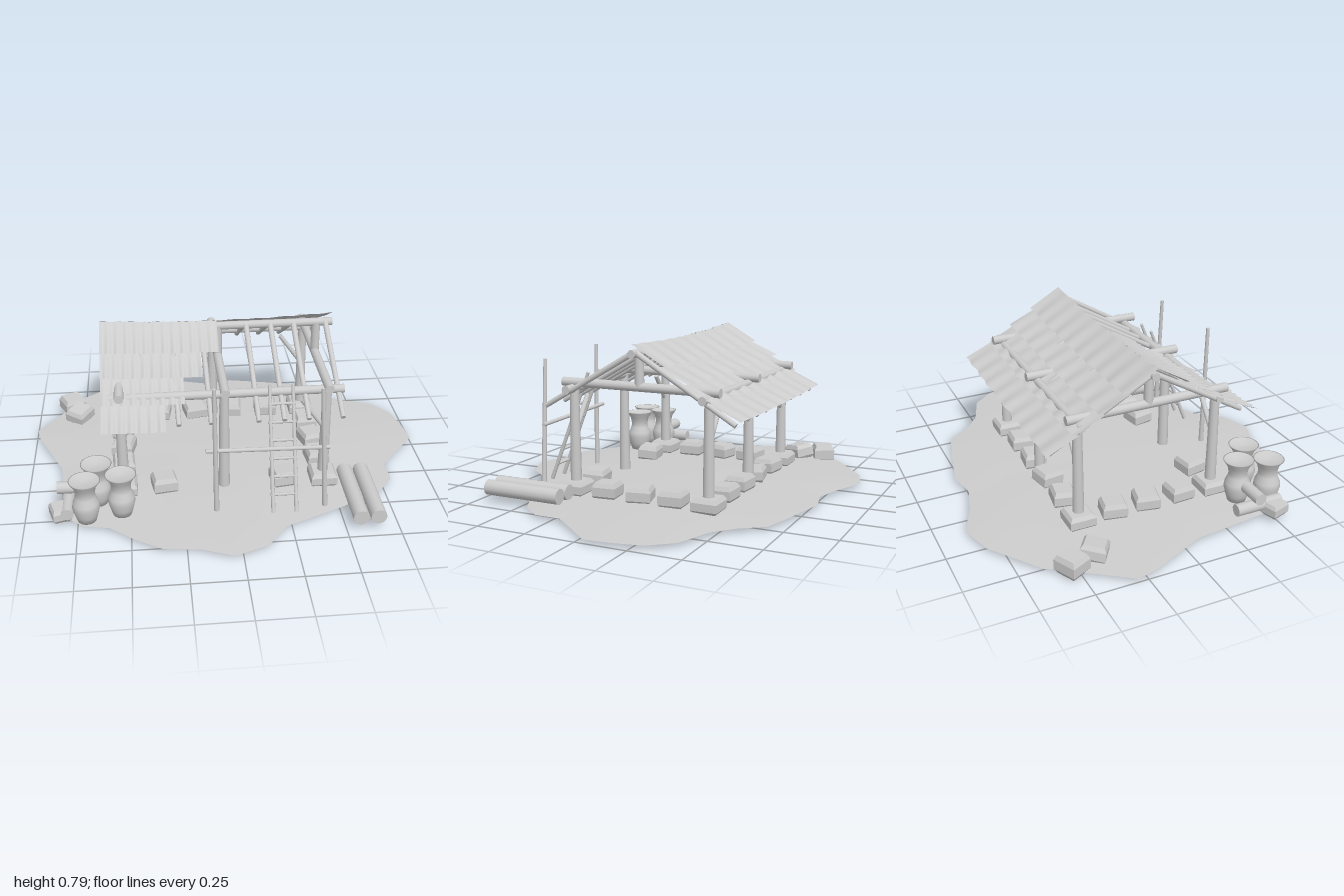
import * as THREE from 'three';

const stone = new THREE.MeshStandardMaterial({ color: 0xcccccc });
stone.name = 'pale grey';
const sheet = stone.clone();
sheet.name = 'pale grey sheet';
sheet.side = THREE.DoubleSide;
const faceted = stone.clone();
faceted.name = 'pale grey faceted';
faceted.flatShading = true;

const RIDGE_Z = -0.025, SLOPE = 0.59, RIDGE_Y = 0.785;
const V = (x, y, z) => new THREE.Vector3(x, y, z);

export function createModel() {
  const model = new THREE.Group();
  model.name = 'openShelter';

  function add(name, geometry, material = stone, parent = model) {
    const mesh = new THREE.Mesh(geometry, material);
    mesh.name = name;
    parent.add(mesh);
    return mesh;
  }

  // Round timber between two points
  function pole(name, a, b, r0, r1 = r0) {
    const dir = b.clone().sub(a);
    const mesh = add(name, new THREE.CylinderGeometry(r1, r0, dir.length(), 12));
    mesh.position.copy(a).add(b).multiplyScalar(0.5);
    mesh.quaternion.setFromUnitVectors(V(0, 1, 0), dir.normalize());
    return mesh;
  }

  // Slightly domed ground with an irregular rim
  const rim = [
    [-1, -0.3], [-0.81, -0.57], [-0.77, -0.64], [-0.52, -0.82], [-0.36, -0.865], [-0.19, -0.795],
    [-0.04, -0.75], [0.1, -0.78], [0.37, -0.72], [0.51, -0.68], [0.59, -0.57], [0.69, -0.485],
    [0.87, -0.42], [0.96, -0.31], [0.99, -0.16], [1, -0.04], [0.91, 0.065], [0.8, 0.2],
    [0.8, 0.33], [0.72, 0.43], [0.53, 0.53], [0.43, 0.575], [0.22, 0.665], [0.12, 0.795],
    [-0.04, 0.855], [-0.19, 0.795], [-0.36, 0.775], [-0.48, 0.7], [-0.6, 0.6], [-0.72, 0.575],
    [-0.8, 0.51], [-0.82, 0.35], [-0.85, 0.08], [-0.9, -0.03], [-0.98, -0.21],
  ];
  const n = rim.length, pos = [0, 0.042, 0], index = [];
  const rings = [[0.35, 0.041], [0.7, 0.035], [1, 0.018]];
  for (const [s, y] of rings) for (const [x, z] of rim) pos.push(x * s, y, z * s);
  for (let i = 0; i < n; i++) {
    const j = (i + 1) % n;
    index.push(0, 1 + j, 1 + i);
    for (let k = 0; k < 2; k++) {
      const a = 1 + k * n + i, b = 1 + k * n + j;
      index.push(a, b, a + n, b, b + n, a + n);
    }
  }
  const groundGeo = new THREE.BufferGeometry();
  groundGeo.setAttribute('position', new THREE.Float32BufferAttribute(pos, 3));
  groundGeo.setIndex(index);
  groundGeo.computeVertexNormals();
  add('ground', groundGeo, sheet);

  // Chamfered block, one unit in each direction, standing on its base
  const blockGeo = new THREE.LatheGeometry(
    [[0, 0], [0.52, 0], [0.7, 0.25], [0.7, 0.75], [0.56, 1], [0, 1]].map(p => new THREE.Vector2(...p)), 4);
  blockGeo.rotateY(Math.PI / 4);
  function block(name, x, y, z, w, h, d, turn = 0, tilt = 0) {
    const mesh = add(name, blockGeo, faceted);
    mesh.position.set(x, y, z);
    mesh.scale.set(w, h, d);
    mesh.rotation.set(tilt, turn, 0);
  }

  // Footings under the corner posts and stones around the floor
  const postX = [-0.53, -0.04, 0.45], postZ = [0.325, -0.375];
  for (const x of [postX[0], postX[2]]) {
    for (const z of postZ) block('postFooting', x, 0.025, z, 0.13, 0.075, 0.13);
    for (let i = 1; i < 4; i++)
      block('floorStone', x, 0.025, 0.325 - i * 0.175, 0.11, 0.085, 0.12, 0.25 * Math.sin(i * 5 + x * 9), 0.06 * Math.sin(i * 3));
  }
  for (let i = 1; i < 5; i++) {
    const x = -0.53 + i * 0.196;
    block('floorStone', x, 0.025, -0.375, 0.12, 0.085, 0.11, 0.2 * Math.sin(i * 4), 0.05);
    if (i === 1 || i === 4) block('floorStone', x, 0.025, 0.325, 0.12, 0.085, 0.11, 0.15, -0.05);
  }
  block('looseRock', -0.82, 0.0, -0.53, 0.12, 0.095, 0.11, 0.45);
  block('looseRock', -0.775, 0.01, -0.41, 0.11, 0.085, 0.12, -0.6, 0.15);
  block('looseRock', -0.83, 0.02, 0.5, 0.09, 0.07, 0.1, 0.3);

  // Posts, tie beams and king posts
  for (const x of postX) {
    for (const z of postZ) pole('post', V(x, 0.03, z), V(x, 0.56, z), 0.028, 0.022);
    pole('tieBeam', V(x, 0.578, 0.385), V(x, 0.578, -0.43), 0.022);
    pole('kingPost', V(x, 0.58, RIDGE_Z), V(x, 0.74, RIDGE_Z), 0.022);
  }
  // Beams along the length and corner braces
  for (const z of postZ) {
    pole('eaveBeam', V(-0.58, 0.55, z), V(0.53, 0.55, z), 0.021);
    pole('brace', V(-0.525, 0.34, z), V(-0.41, 0.49, z), 0.012);
    pole('brace', V(0.445, 0.34, z), V(0.33, 0.5, z), 0.012);
  }
  pole('ridgeBeam', V(-0.6, 0.738, RIDGE_Z), V(0.53, 0.738, RIDGE_Z), 0.02);
  // Rafters on both slopes
  for (const x of [-0.57, -0.42, -0.27, -0.12, 0.1, 0.22, 0.335, 0.495])
    for (const [side, len] of [[1, 0.475], [-1, 0.5]])
      pole('rafter', V(x, 0.745, RIDGE_Z), V(x + 0.01, 0.745 - SLOPE * len, RIDGE_Z + side * len), 0.014, 0.012);

  // Overlapping wavy tile rows with a sagging ridge
  const edges = [0, 0.16, 0.28, 0.405, 0.53];
  function tileRow(name, row, side, x0, x1, period, amp) {
    const nx = Math.ceil((x1 - x0) / period * 8), geo = new THREE.PlaneGeometry(1, 1, nx, 4);
    const p = geo.attributes.position;
    const d0 = Math.max(0, edges[row] - 0.025), d1 = edges[row + 1];
    for (let i = 0; i < p.count; i++) {
      const x = x0 + (p.getX(i) + 0.5) * (x1 - x0), t = 0.5 - p.getY(i);
      const wave = Math.sin(x / period * Math.PI * 2 + row * 1.7) + 0.35 * Math.sin(x * 23 + row * 3);
      const d = d0 + t * (d1 - d0) + (t > 0.9 ? wave * 0.005 : 0);
      const sag = 0.018 * (1 - ((x + 0.04) / 0.57) ** 2);
      const tuck = row ? 0.02 * (1 - t) : 0;
      p.setXYZ(i, x, RIDGE_Y - SLOPE * d - sag * (1 - d) - tuck + wave * amp * (0.3 + 0.7 * t), RIDGE_Z + side * d);
    }
    // Reverse the faces on the back slope so they point outward
    if (side < 0) {
      const ix = geo.index;
      for (let i = 0; i < ix.count; i += 3) {
        const a = ix.getX(i);
        ix.setX(i, ix.getX(i + 1));
        ix.setX(i + 1, a);
      }
    }
    geo.computeVertexNormals();
    add(name, geo, sheet);
  }
  [-0.045, -0.135, -0.225, -0.32].forEach((end, row) => {
    tileRow('frontTileRow', row, 1, -0.615, end, 0.045, 0.006);
    tileRow('backTileRow', row, -1, -0.615, 0.53, 0.125, 0.005);
  });

  // Leaning ladder
  const foot = V(0, 0.035, 0.575), head = V(0, 0.6, 0.35);
  for (const x of [0.17, 0.28])
    pole('ladderRail', foot.clone().setX(x), head.clone().setX(x), 0.01, 0.008);
  for (let i = 1; i < 7; i++) {
    const c = foot.clone().lerp(head, i * 0.142);
    pole('ladderRung', c.clone().setX(0.16), c.clone().setX(0.29), 0.007);
  }

  // Scaffold frame in front
  pole('scaffoldPole', V(-0.095, 0.03, 0.53), V(-0.105, 0.69, 0.53), 0.013, 0.009);
  pole('scaffoldPole', V(0.425, 0.03, 0.53), V(0.385, 0.67, 0.53), 0.013, 0.009);
  pole('scaffoldBar', V(-0.145, 0.36, 0.517), V(0.435, 0.35, 0.517), 0.01);

  // Clay jars with flared rims
  const jarGeo = new THREE.LatheGeometry([
    [0, 0], [0.045, 0], [0.055, 0.035], [0.065, 0.075], [0.061, 0.1], [0.048, 0.13],
    [0.045, 0.15], [0.052, 0.185], [0.074, 0.218], [0.068, 0.218], [0.04, 0.208], [0, 0.205],
  ].map(p => new THREE.Vector2(...p)), 24);
  for (const [x, z] of [[-0.705, 0.535], [-0.54, 0.5], [-0.655, 0.4]])
    add('jar', jarGeo).position.set(x, 0.03, z);

  // Logs on the ground
  for (const x of [0.565, 0.648]) pole('log', V(x, 0.067, 0.295), V(x, 0.067, 0.7), 0.038);
  pole('shortLog', V(-0.795, 0.07, 0.31), V(-0.795, 0.07, 0.55), 0.03);
  pole('shortLog', V(-0.845, 0.13, 0.41), V(-0.72, 0.13, 0.41), 0.03);

  return model;
}
